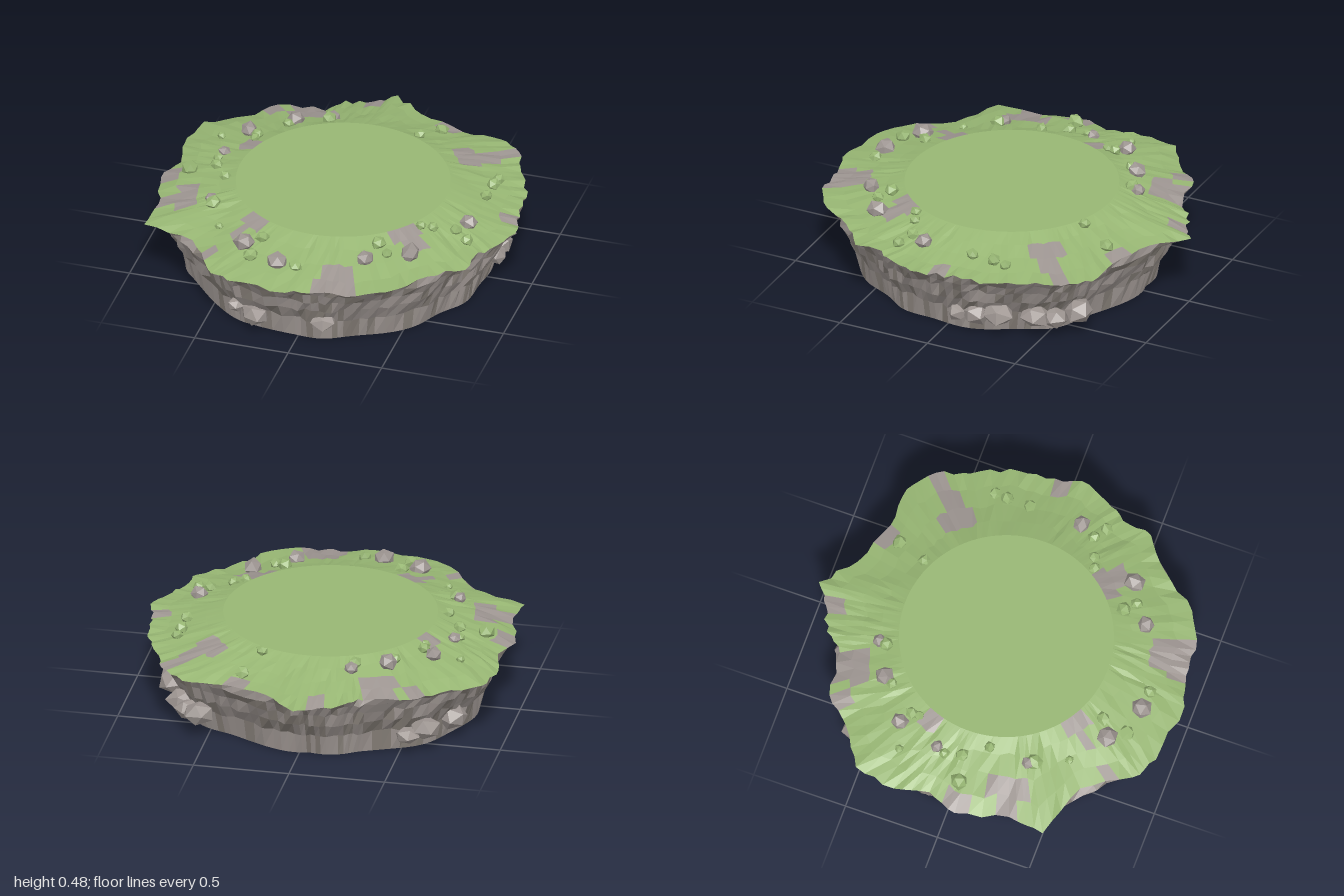
import * as THREE from 'three';

const mat = (name, color) => Object.assign(new THREE.MeshStandardMaterial({ color, flatShading: true }), { name });

// small seeded random
let seed = 7;
const rnd = () => {
  seed = (seed * 16807) % 2147483647;
  return seed / 2147483647;
};
const jit = (a) => (rnd() - 0.5) * 2 * a;

// rim outline as x, z, clockwise from the back
const RIM = [
  [-0.02, -1.0], [0.15, -0.85], [0.40, -0.76], [0.61, -0.75], [0.74, -0.64], [0.80, -0.47], [0.89, -0.29],
  [0.90, -0.10], [0.95, 0.08], [0.89, 0.24], [0.82, 0.35], [0.80, 0.51], [0.64, 0.64], [0.48, 0.85],
  [0.29, 0.94], [0.14, 0.94], [-0.02, 0.99], [-0.34, 0.95], [-0.47, 0.87], [-0.62, 0.64], [-0.91, 0.54],
  [-0.89, 0.35], [-0.96, 0.08], [-0.90, -0.08], [-0.94, -0.26], [-0.90, -0.48], [-0.71, -0.60],
  [-0.58, -0.74], [-0.34, -0.77], [-0.26, -0.87], [-0.13, -0.92],
];
// bare rock patches on the grass slope: x, z, radius
const PATCHES = [
  [-0.42, -0.68, 0.10], [0.54, -0.46, 0.11], [-0.58, -0.2, 0.06], [-0.78, 0.31, 0.10], [0.47, 0.42, 0.08],
  [-0.34, 0.54, 0.07], [0.2, 0.88, 0.12], [-0.55, 0.75, 0.06], [0.75, -0.62, 0.07], [-0.13, -0.92, 0.06],
  [0.32, -0.78, 0.06], [0.88, 0.0, 0.04], [-0.93, 0.08, 0.07], [-0.6, -0.7, 0.05], [0.82, 0.4, 0.05],
];
// stones on the slope: x, z, radius
const GRASS_STONES = [
  [0.31, -0.68, 0.038], [0.24, -0.52, 0.032], [-0.25, -0.55, 0.042], [-0.44, -0.45, 0.03], [-0.56, -0.30, 0.032],
  [-0.56, -0.26, 0.027], [-0.75, -0.30, 0.024], [-0.70, -0.07, 0.027], [-0.68, 0.02, 0.037], [-0.81, 0.05, 0.046],
  [-0.60, 0.14, 0.032], [-0.59, 0.38, 0.043], [-0.51, 0.54, 0.024], [-0.25, 0.63, 0.036], [-0.27, 0.77, 0.043],
  [-0.02, 0.80, 0.034], [0.34, 0.53, 0.038], [0.40, 0.58, 0.032], [0.50, 0.31, 0.029], [0.56, 0.29, 0.033],
  [0.67, 0.25, 0.035], [0.74, 0.29, 0.034], [0.73, -0.31, 0.032], [0.72, -0.24, 0.037], [0.72, -0.12, 0.033],
];
const ROCK_STONES = [
  [-0.24, -0.59, 0.038], [-0.41, -0.50, 0.048], [-0.62, -0.34, 0.048], [-0.68, -0.12, 0.036], [-0.61, 0.35, 0.036],
  [-0.33, 0.68, 0.057], [-0.12, 0.79, 0.053], [0.31, 0.66, 0.048], [0.51, 0.53, 0.055], [0.71, 0.16, 0.048],
];
// boulders bulging from the cliff: x, y, z, radius
const BOULDERS = [
  [-0.23, 0.095, 0.83, 0.077], [-0.34, 0.115, 0.80, 0.048], [0.14, 0.125, 0.83, 0.072],
  [0.79, 0.10, -0.07, 0.06], [0.77, 0.11, -0.17, 0.08], [0.75, 0.125, -0.28, 0.09],
  [0.67, 0.11, -0.45, 0.085], [0.62, 0.10, -0.54, 0.07], [0.55, 0.13, -0.64, 0.08],
  [-0.54, 0.10, -0.63, 0.065], [-0.62, 0.12, -0.57, 0.085], [-0.73, 0.11, -0.38, 0.08],
];

const FLAT_R = 0.55, FLAT_Y = 0.455, RIM_Y = 0.352, SUB = 4;
const slopeY = (t) => FLAT_Y - (FLAT_Y - RIM_Y) * Math.pow(t, 0.85);

// rim subdivided with small irregularities
function makeRim() {
  const pts = [];
  RIM.forEach(([x, z], i) => {
    const [nx, nz] = RIM[(i + 1) % RIM.length];
    for (let k = 0; k < SUB; k++) {
      const t = k / SUB, s = k ? 1 + jit(0.014) : 1;
      pts.push(new THREE.Vector2((x + (nx - x) * t) * s, (z + (nz - z) * t) * s));
    }
  });
  return pts;
}

// facets between successive rings, sorted into bins by pick(centroid)
function loft(rings, bins, pick) {
  for (let i = 0; i < rings.length - 1; i++) {
    const n = rings[i].length;
    for (let j = 0; j < n; j++) {
      const k = (j + 1) % n;
      const [a, b, c, d] = [rings[i][j], rings[i][k], rings[i + 1][k], rings[i + 1][j]];
      const mid = a.clone().add(b).add(c).add(d).multiplyScalar(0.25);
      bins[pick(mid)].push(a, b, c, a, c, d);
    }
  }
}

function facetMesh(name, points, material) {
  const g = new THREE.BufferGeometry().setFromPoints(points);
  g.computeVertexNormals();
  const m = new THREE.Mesh(g, material);
  m.name = name;
  return m;
}

// irregular low-poly stone
function stone(name, r, material, squash) {
  const g = new THREE.IcosahedronGeometry(r, 0);
  const p = g.attributes.position, moved = new Map(), v = new THREE.Vector3();
  for (let i = 0; i < p.count; i++) {
    v.fromBufferAttribute(p, i);
    const key = v.toArray().map((n) => Math.round(n * 1e4)).join();
    if (!moved.has(key)) moved.set(key, 1 + jit(0.16));
    v.multiplyScalar(moved.get(key));
    p.setXYZ(i, v.x, v.y * squash, v.z);
  }
  g.computeVertexNormals();
  const m = new THREE.Mesh(g, material);
  m.name = name;
  m.rotation.y = rnd() * 6.28;
  return m;
}

export function createModel() {
  seed = 7;
  const group = new THREE.Group();
  group.name = 'rockyPlateau';
  const grass = mat('grass', 0x97b673);
  const rock = mat('rock', 0x9d9591), darkRock = mat('darkRock', 0x878079);

  const rim = makeRim(), n = rim.length;
  const rimTop = rim.map((p) => new THREE.Vector3(p.x, RIM_Y + p.x * 0.012 + jit(0.009), p.y));

  // flat lawn
  const flat = rim.map((p) => {
    const q = p.clone().setLength(FLAT_R);
    return new THREE.Vector3(q.x - 0.005, FLAT_Y, q.y + 0.015);
  });
  const centre = new THREE.Vector3(0, FLAT_Y, 0);
  const lawnPts = [];
  flat.forEach((p, j) => lawnPts.push(centre, flat[(j + 1) % n], p));
  group.add(facetMesh('lawn', lawnPts, grass));

  // grass slope with bare patches
  const slope = [flat];
  for (const t of [0.22, 0.48, 0.75]) {
    slope.push(flat.map((p, j) => {
      const q = p.clone().lerp(rimTop[j], t + jit(0.03));
      q.y = slopeY(t) + jit(0.004);
      return q;
    }));
  }
  slope.push(rimTop);
  const top = [[], []];
  loft(slope, top, (m) => (PATCHES.some(([x, z, r]) => Math.hypot(m.x - x, m.z - z) < r) ? 1 : 0));
  group.add(facetMesh('grassSlope', top[0], grass), facetMesh('barePatches', top[1], rock));

  // cliff that flares from a lobed foot towards the smoothed rim, then out to the overhanging lip
  const smooth = rim.map((p, j) => {
    let r = 0;
    for (let k = -5; k <= 5; k++) r += rim[(j + k + n) % n].length() / 11;
    return r;
  });
  const cliffRing = (y, t, rough) => rim.map((p, j) => {
    const a = Math.atan2(p.y, p.x), r = smooth[j];
    const footR = 0.4 + 0.4 * r + 0.012 * Math.sin(j * 0.55) - 0.03 * Math.cos(a - Math.PI / 4) ** 3;
    const q = p.clone().setLength((footR + (r - footR) * t) * (1 + jit(rough)));
    const drift = 1 - t;
    return new THREE.Vector3(q.x, y && y + jit(0.008), q.y + 0.045 * drift);
  });
  const foot = cliffRing(0, 0, 0);
  const cliff = [rimTop];
  for (const [y, t] of [[0.32, 0.78], [0.265, 0.58], [0.195, 0.42], [0.115, 0.14]]) cliff.push(cliffRing(y, t, 0.016));
  cliff.push(foot);
  const wall = [[], []];
  loft(cliff, wall, () => (rnd() < 0.35 ? 1 : 0));
  group.add(facetMesh('cliff', wall[0], rock), facetMesh('cliffDarkFacets', wall[1], darkRock));

  // underside
  const base = [];
  foot.forEach((p, j) => base.push(new THREE.Vector3(), p, foot[(j + 1) % n]));
  group.add(facetMesh('underside', base, rock));

  // stones resting on the slope
  const scatter = (list, name, material) => list.forEach(([x, z, r]) => {
    const a = Math.atan2(z, x), d = Math.hypot(x, z);
    const edge = rim.reduce((best, p) => {
      const off = Math.cos(Math.atan2(p.y, p.x) - a);
      return off > best.off ? { off, r: p.length() } : best;
    }, { off: -2, r: 1 }).r;
    const t = THREE.MathUtils.clamp((d - FLAT_R) / (edge - FLAT_R), 0, 1);
    const m = stone(name, r, material, 0.9);
    m.position.set(x, slopeY(t) + r * 0.35, z);
    group.add(m);
  });
  scatter(GRASS_STONES, 'mossyStone', grass);
  scatter(ROCK_STONES, 'greyStone', rock);

  // boulders set in the cliff
  BOULDERS.forEach(([x, y, z, r]) => {
    const m = stone('cliffBoulder', r, rock, 0.75);
    m.position.set(x, y, z);
    group.add(m);
  });
  return group;
}
